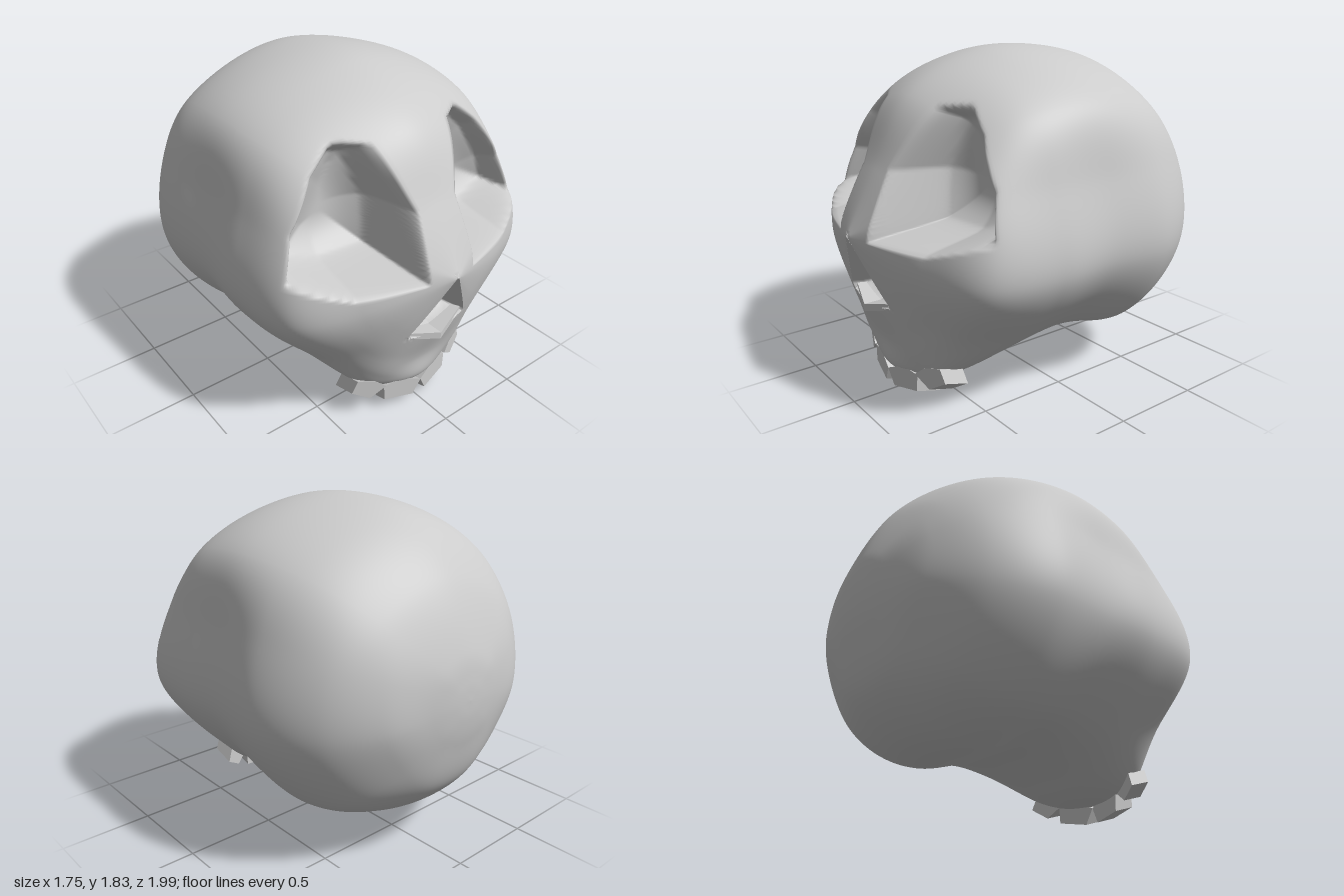
import * as THREE from 'three';

const grey = new THREE.MeshStandardMaterial({ color: 0xcccccc, side: THREE.DoubleSide });
const AXIS_Y = 0.92; // height of the axis from nose bridge to back of the head

// Curves from the nose bridge to the back of the head, as z, distance from axis
const crown = [.82, .33, .62, .68, .2, .885, -.21, .9, -.55, .81, -.81, .58];
const temple = [.8, .42, .6, .71, .35, .88, -.1, .945, -.53, .84, -.8, .6];
const brow = [.82, .48, .63, .74, .3, .835, 0, .845, -.4, .86, -.71, .72, -.88, .5];
const cheek = [.85, .48, .67, .78, .28, .86, 0, .85, -.42, .87, -.71, .73, -.9, .48];
const jawSide = [.88, .37, .79, .55, .65, .7, .38, .77, -.02, .76, -.42, .82, -.7, .71, -.89, .46];
const jaw = [.88, .37, .82, .54, .76, .7, .68, .8, .5, .82, .2, .745, -.1, .7, -.42, .77, -.66, .7, -.88, .5];
const chin = [.88, .38, .8, .6, .77, .77, .6, .82, .39, .8, .2, .73, -.1, .67, -.42, .74, -.66, .69, -.88, .5];
const profiles = [[0, crown], [45, temple], [70, brow], [100, cheek], [135, jawSide], [160, jaw], [180, chin]];

function profileCurve(zr) {
  const pts = [new THREE.Vector3(0, 0, 0.99)];
  for (let i = 0; i < zr.length; i += 2) pts.push(new THREE.Vector3(zr[i + 1], 0, zr[i]));
  // shared rounded end at the back of the head
  pts.push(new THREE.Vector3(0.24, 0, -0.97), new THREE.Vector3(0.1, 0, -0.995), new THREE.Vector3(0, 0, -1));
  return new THREE.CatmullRomCurve3(pts);
}

// Front outlines of the openings
const eyeOutline = [[.16, .925], [.14, 1.26], [.26, 1.56], [.41, 1.585], [.55, 1.46], [.7, 1.23], [.765, 1.01], [.5, .925]];
const noseOutline = [[0, .935], [.205, .57], [0, .52], [-.205, .57]];

// Signed distance to an outline (positive inside) and the nearest point on it
function probe(x, y, outline) {
  let best = Infinity, near = [x, y], inside = false;
  outline.forEach(([ax, ay], i) => {
    const [bx, by] = outline[(i + 1) % outline.length];
    const dx = bx - ax, dy = by - ay;
    const t = THREE.MathUtils.clamp(((x - ax) * dx + (y - ay) * dy) / (dx * dx + dy * dy), 0, 1);
    const px = ax + t * dx, py = ay + t * dy, d = Math.hypot(x - px, y - py);
    if (d < best) { best = d; near = [px, py]; }
    if ((ay > y) !== (by > y) && x < ax + (y - ay) * dx / dy) inside = !inside;
  });
  return { d: inside ? best : -best, near };
}

// Eye socket: a soft rim, a steep wall, then a rounded bowl
function carveEye(p) {
  const { d } = probe(Math.abs(p.x), p.y, eyeOutline);
  const wall = THREE.MathUtils.smoothstep(d, -0.012, 0.07);
  const bowl = 1 - (1 - THREE.MathUtils.clamp(d / 0.25, 0, 1)) ** 2;
  p.z = THREE.MathUtils.lerp(p.z, Math.min(p.z, 0.4), 0.55 * wall + 0.45 * bowl);
}

// Nose: a crisp shallow recess, with points near its rim moved onto the rim
function carveNose(p) {
  const { d, near } = probe(p.x, p.y, noseOutline);
  if (Math.abs(d) < 0.011) [p.x, p.y] = near;
  else if (d > 0) p.z -= 0.12 * Math.min(1, d / 0.035);
}

function skullGeometry() {
  const rings = 190, around = 252;
  const curves = profiles.map(([, zr]) => profileCurve(zr));
  const positions = [], index = [];
  for (let i = 0; i <= rings; i++) {
    const u = Math.pow(i / rings, 1.25); // denser toward the face
    const half = curves.map((c, k) => {
      const { x: r, z } = c.getPointAt(u);
      const a = THREE.MathUtils.degToRad(profiles[k][0]);
      return new THREE.Vector3(r * Math.sin(a), AXIS_Y + r * Math.cos(a), z);
    });
    const mirror = half.slice(1, -1).reverse().map(v => new THREE.Vector3(-v.x, v.y, v.z));
    const ring = new THREE.CatmullRomCurve3([...half, ...mirror], true);
    for (let j = 0; j < around; j++) {
      const p = ring.getPoint(j / around);
      if (p.z > 0.35) {
        carveEye(p);
        carveNose(p);
      }
      positions.push(p.x, p.y, p.z);
      if (i < rings) {
        const a = i * around + j, b = i * around + (j + 1) % around;
        index.push(a, b, a + around, b, b + around, a + around);
      }
    }
  }
  const g = new THREE.BufferGeometry();
  g.setAttribute('position', new THREE.Float32BufferAttribute(positions, 3));
  g.setIndex(index);
  g.computeVertexNormals();
  return g;
}

// Front outline given depth; sweep leans it back with distance from the middle,
// tilt lowers its rear
function slab(name, outline, z0, z1, sweep, tilt) {
  const shape = new THREE.Shape(outline.map(([x, y]) => new THREE.Vector2(x, y)));
  const g = new THREE.ExtrudeGeometry(shape, { depth: z1 - z0, bevelEnabled: false });
  const pos = g.attributes.position;
  for (let i = 0; i < pos.count; i++) {
    const z = pos.getZ(i) + z0;
    pos.setY(i, pos.getY(i) - tilt * (z1 - z));
    pos.setZ(i, z - sweep * Math.abs(pos.getX(i)));
  }
  g.computeVertexNormals();
  const mesh = new THREE.Mesh(g, grey);
  mesh.name = name;
  return mesh;
}

export function createModel() {
  const group = new THREE.Group();
  group.name = 'skull';

  const cranium = new THREE.Mesh(skullGeometry(), grey);
  cranium.name = 'craniumAndFace';
  group.add(cranium);

  // Ledge under the nose opening
  group.add(slab('noseLedge', [[-.215, .56], [0, .5], [.215, .56], [.2, .59], [0, .54], [-.2, .59]], 0.74, 0.91, 0.3, 0));

  // Two teeth on each side
  for (const s of [1, -1]) {
    const flip = pts => pts.map(([x, y]) => [x * s, y]);
    const label = s > 0 ? 'left' : 'right';
    group.add(slab(label + 'FrontTooth', flip([[0, .135], [.045, .045], [.22, .075], [.225, .17], [.12, .19]]), 0.65, 0.79, 0.22, 0.3));
    group.add(slab(label + 'SideTooth', flip([[.22, .18], [.305, .115], [.4, .175], [.37, .25], [.28, .23]]), 0.7, 0.84, 0.4, 0.3));
  }
  return group;
}
